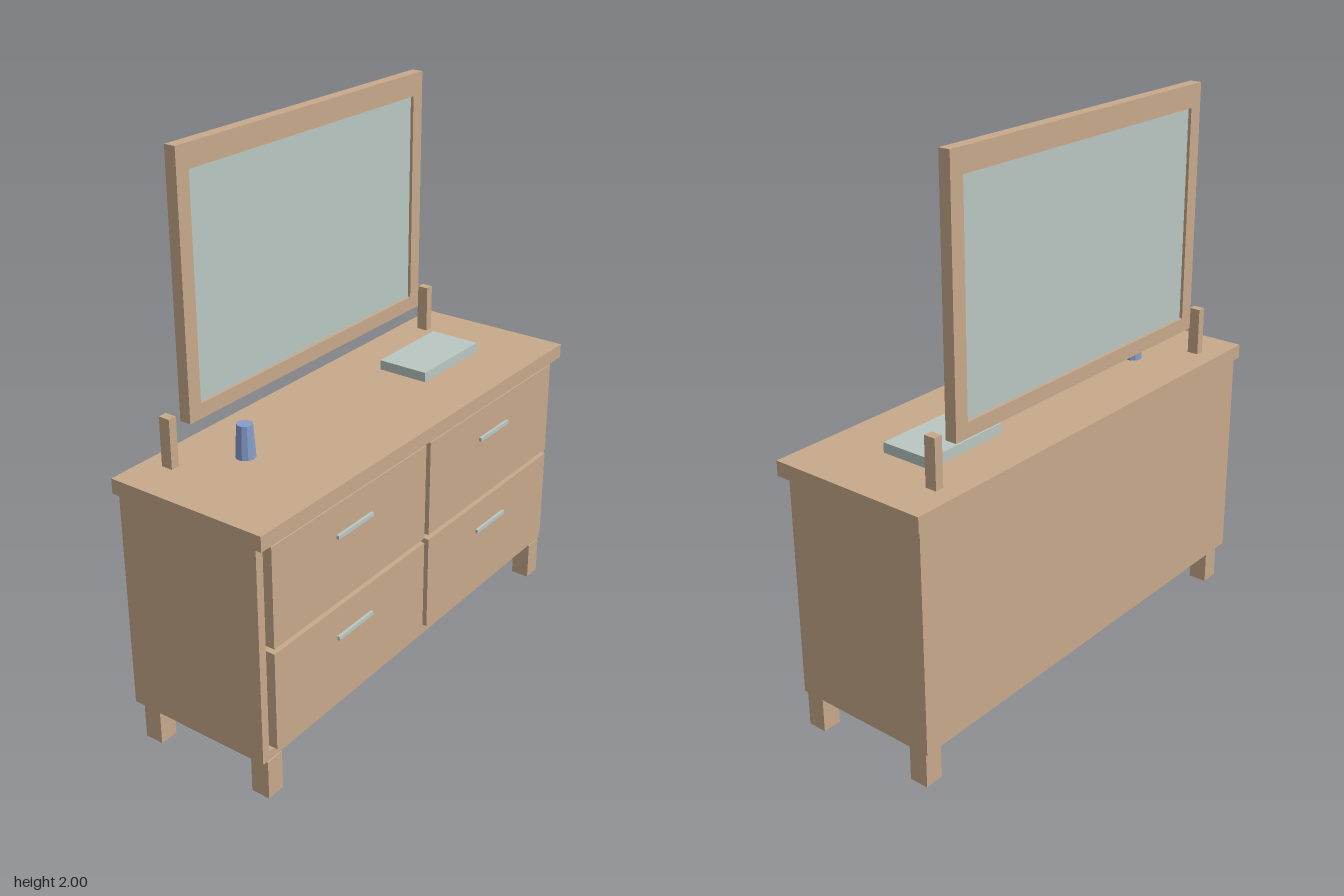
import * as THREE from 'three';

export function createModel() {
  const model = new THREE.Group();
  model.name = 'dresser';
  const material = (name, color) => {
    const m = new THREE.MeshStandardMaterial({ color });
    m.name = name;
    return m;
  };
  const wood = material('wood', 0xc8a98b);
  const glass = material('pale glass', 0xb9c7c2);
  const blue = material('blue', 0x869dcc);

  const add = (name, geometry, mat) => {
    const mesh = new THREE.Mesh(geometry, mat);
    mesh.name = name;
    model.add(mesh);
    return mesh;
  };
  // Box given by its limits on each axis
  const box = (name, mat, [x0, x1], [y0, y1], [z0, z1]) =>
    add(name, new THREE.BoxGeometry(x1 - x0, y1 - y0, z1 - z0), mat)
      .position.set((x0 + x1) / 2, (y0 + y1) / 2, (z0 + z1) / 2);

  // Flat frame: outer rectangle with rectangular openings, extruded along z
  const trace = (path, [x0, x1, y0, y1]) => {
    path.moveTo(x0, y0);
    path.lineTo(x1, y0);
    path.lineTo(x1, y1);
    path.lineTo(x0, y1);
    path.closePath();
    return path;
  };
  const frame = (name, outer, openings, z0, z1) => {
    const shape = trace(new THREE.Shape(), outer);
    shape.holes = openings.map((o) => trace(new THREE.Path(), o));
    const geometry = new THREE.ExtrudeGeometry(shape, { depth: z1 - z0, bevelEnabled: false });
    add(name, geometry, wood).position.z = z0;
  };

  // Cabinet with a front frame around the drawers
  box('cabinetBody', wood, [-0.87, 0.87], [0.143, 0.937], [-0.288, 0.245]);
  frame('cabinetFrontFrame', [-0.87, 0.87, 0.143, 0.937],
    [[-0.839, -0.006, 0.177, 0.932], [0.006, 0.839, 0.177, 0.932]], 0.245, 0.265);
  box('tabletop', wood, [-0.886, 0.886], [0.937, 0.99], [-0.3, 0.3]);

  // Drawers with bar handles
  for (const side of [-1, 1]) {
    for (const y of [0.19, 0.566]) {
      const x = side * 0.421;
      box('drawerFront', wood, [x - 0.408, x + 0.408], [y, y + 0.357], [0.245, 0.29]);
      box('drawerHandle', glass, [x - 0.093, x + 0.093], [y + 0.236, y + 0.25], [0.29, 0.3]);
    }
  }

  // Legs and mirror posts
  for (const side of [-1, 1]) {
    const legX = side * 0.818;
    for (const z of [-0.231, 0.235]) {
      box('leg', wood, [legX - 0.035, legX + 0.035], [0, 0.143], [z - 0.035, z + 0.035]);
    }
    const postX = side * 0.717;
    box('mirrorPost', wood, [postX - 0.016, postX + 0.016], [0.99, 1.163], [-0.23, -0.188]);
  }

  // Mirror
  frame('mirrorFrame', [-0.639, 0.639, 1.111, 2], [[-0.585, 0.585, 1.163, 1.92]], -0.23, -0.188);
  box('mirrorGlass', glass, [-0.585, 0.585], [1.163, 1.92], [-0.219, -0.199]);

  // Objects on the tabletop
  const vaseMaterial = blue;
  vaseMaterial.flatShading = true;
  add('vase', new THREE.CylinderGeometry(0.027, 0.034, 0.117, 10), vaseMaterial)
    .position.set(-0.527, 1.0485, -0.06);
  box('tray', glass, [0.29, 0.636], [0.99, 1.026], [-0.115, 0.08]);

  return model;
}
